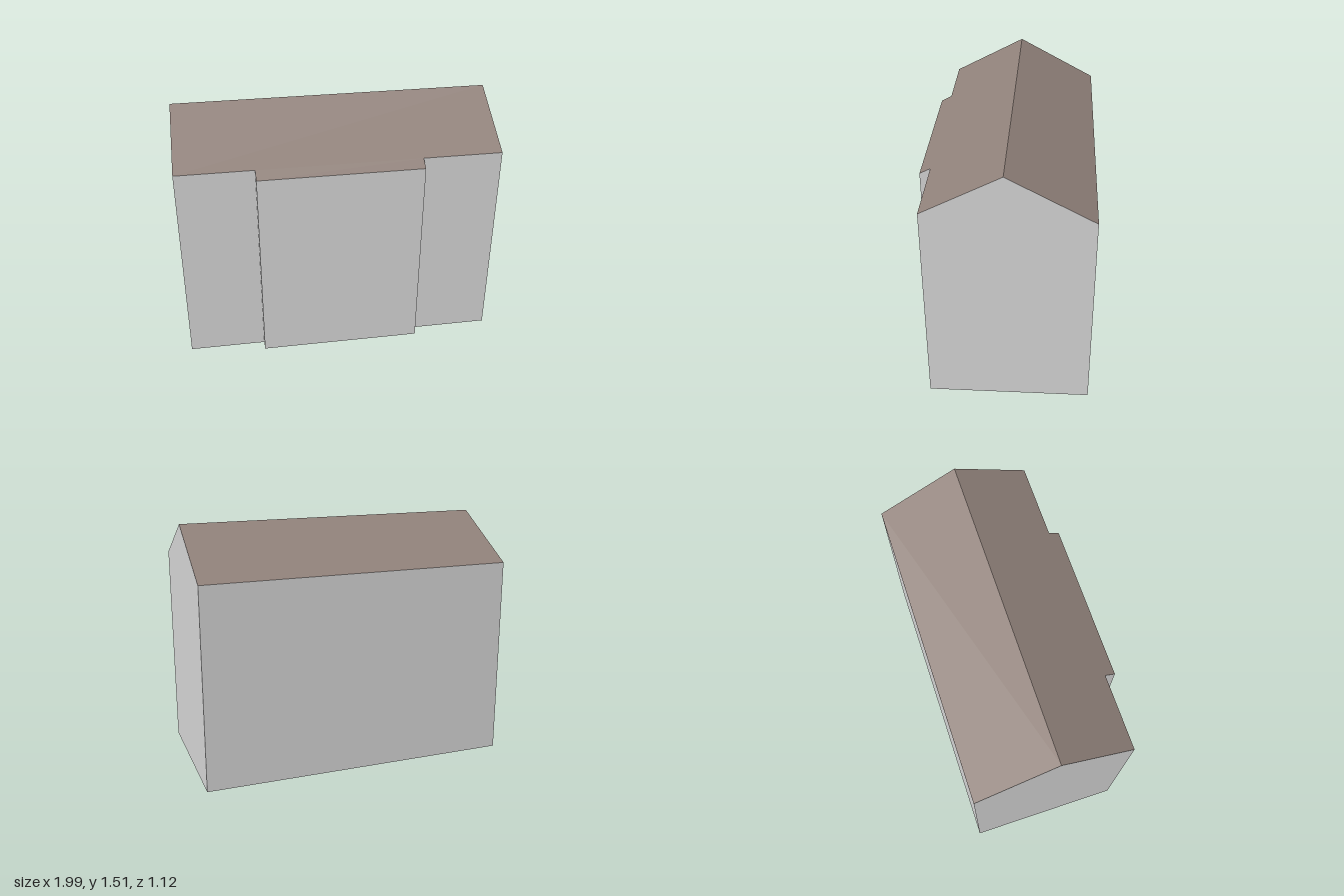
import * as THREE from 'three';

const wall = new THREE.MeshStandardMaterial({ color: 0xd6d6d6 });
wall.name = 'pale grey wall';
const roof = new THREE.MeshStandardMaterial({ color: 0x91827b });
roof.name = 'brown roof';

// Flat convex panel; corners run counter-clockwise seen from outside
function panel(name, material, corners) {
  const triangles = [];
  for (let i = 1; i < corners.length - 1; i++) {
    triangles.push(...corners[0], ...corners[i], ...corners[i + 1]);
  }
  const geometry = new THREE.BufferGeometry();
  geometry.setAttribute('position', new THREE.Float32BufferAttribute(triangles, 3));
  geometry.computeVertexNormals();
  const mesh = new THREE.Mesh(geometry, material);
  mesh.name = name;
  return mesh;
}

export function createModel() {
  const model = new THREE.Group();
  model.name = 'house';
  const add = (...args) => model.add(panel(...args));

  const half = 0.967, back = -0.501, front = 0.457, bay = 0.522;
  const bayL = -0.501, bayR = 0.487;
  const ridgeY = 1.515, backY = 1.245, slope = 0.528;
  const eave = (z) => ridgeY - slope * z;

  // Upright wall from (x0, z0) to (x1, z1), left to right seen from outside
  const upright = (name, x0, z0, x1, z1, y0, y1) =>
    add(name, wall, [[x0, 0, z0], [x1, 0, z1], [x1, y1, z1], [x0, y0, z0]]);

  // Front and back walls with the shallow projecting bay
  const fy = eave(front), by = eave(bay);
  upright('frontWallRight', -half, front, bayL, front, fy, fy);
  upright('bayRightReturn', bayL, front, bayL, bay, fy, by);
  upright('bayFrontWall', bayL, bay, bayR, bay, by, by);
  upright('bayLeftReturn', bayR, bay, bayR, front, by, fy);
  upright('frontWallLeft', bayR, front, half, front, fy, fy);
  upright('backWall', half, back, -half, back, backY, backY);

  // Gable ends
  const profile = [[front, 0], [back, 0], [back, backY], [0, ridgeY], [front, fy]];
  add('leftGable', wall, profile.map(([z, y]) => [half, y, z]));
  add('rightGable', wall, profile.map(([z, y]) => [-half, y, z]).reverse());

  // Roof slopes, the front one running on over the bay
  const frontSlope = (name, x0, x1, z0, z1) =>
    add(name, roof, [[x0, eave(z1), z1], [x1, eave(z1), z1], [x1, eave(z0), z0], [x0, eave(z0), z0]]);
  frontSlope('frontRoof', -half, half, 0, front);
  frontSlope('bayRoof', bayL, bayR, front, bay);
  add('backRoof', roof, [[half, backY, back], [-half, backY, back], [-half, ridgeY, 0], [half, ridgeY, 0]]);

  // Underside
  const floor = (name, x0, x1, z0, z1) =>
    add(name, wall, [[x0, 0, z0], [x1, 0, z0], [x1, 0, z1], [x0, 0, z1]]);
  floor('floor', -half, half, back, front);
  floor('bayFloor', bayL, bayR, front, bay);

  // The house stands slightly turned on its plot
  model.rotation.y = 0.0673;
  model.position.z = 0.004;
  const root = new THREE.Group();
  root.add(model);
  return root;
}
